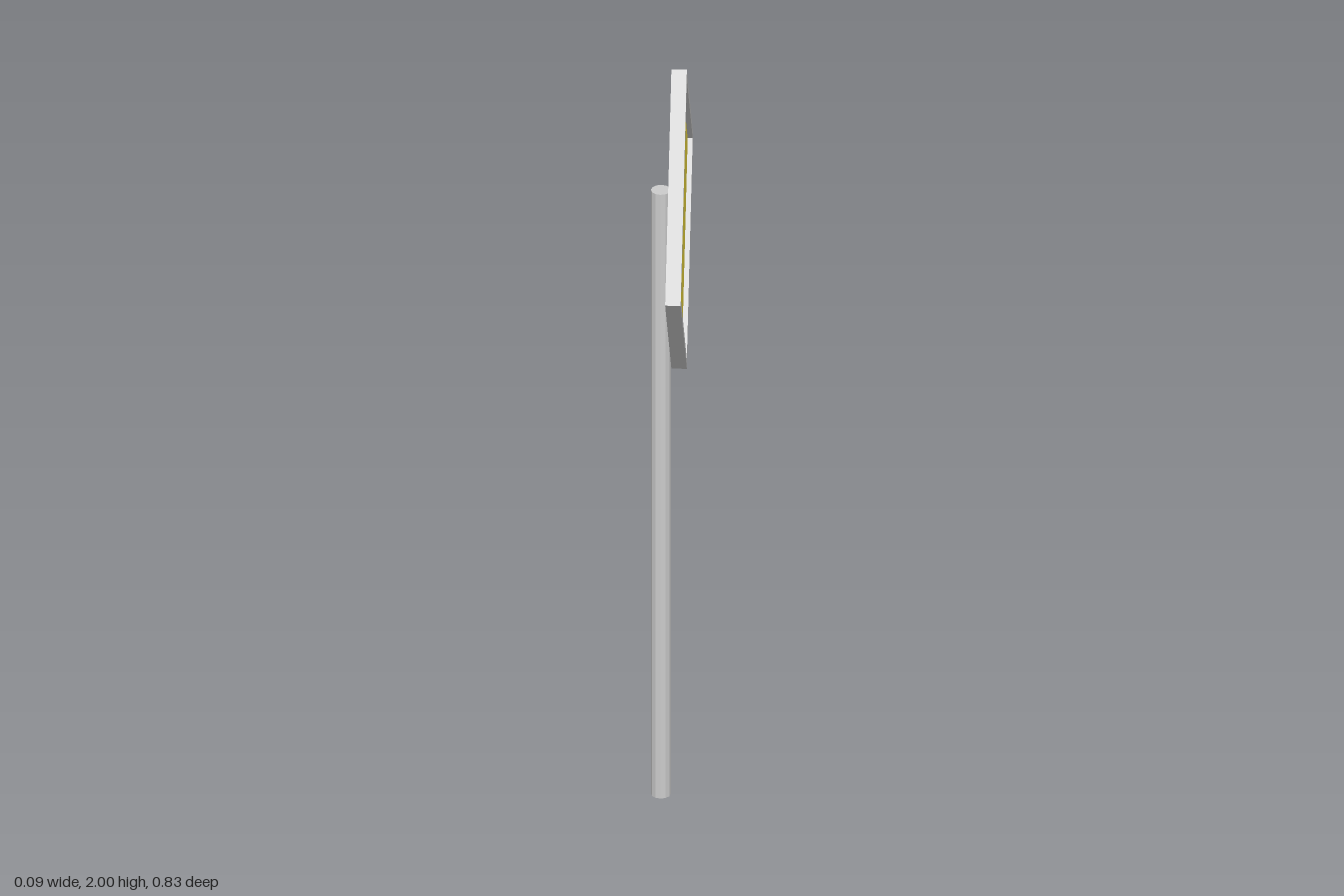
import * as THREE from 'three';

const SIGN_Y = 1.587;
const OUTER = 0.413; // half diagonal of the sign
const INNER = 0.386; // half diagonal of the recessed face

const diamond = (r) => [[r, 0], [0, r], [-r, 0], [0, -r]].map(([x, y]) => new THREE.Vector2(x, y));

// Diamond slab facing +x between x0 and x1, optionally with a diamond opening
function diamondSlab(name, material, r, x0, x1, holeR) {
  const shape = new THREE.Shape(diamond(r));
  if (holeR) shape.holes.push(new THREE.Path(diamond(holeR)));
  const geometry = new THREE.ExtrudeGeometry(shape, { depth: x1 - x0, bevelEnabled: false });
  geometry.rotateY(Math.PI / 2);
  const mesh = new THREE.Mesh(geometry, material);
  mesh.name = name;
  mesh.position.set(x0, SIGN_Y, 0);
  return mesh;
}

export function createModel() {
  const grey = new THREE.MeshStandardMaterial({ color: 0xcccccc, flatShading: true });
  const yellow = new THREE.MeshStandardMaterial({ color: 0xf0dc40, flatShading: true });
  const model = new THREE.Group();
  model.name = 'roadSign';

  // Round post standing behind the sign
  const height = 1.667;
  const post = new THREE.Mesh(new THREE.CylinderGeometry(0.024, 0.024, height, 12), grey);
  post.name = 'post';
  post.position.set(-0.02, height / 2, 0);
  model.add(post);

  // Backing plate, raised rim and recessed coloured face
  const sign = new THREE.Group();
  sign.name = 'sign';
  sign.add(
    diamondSlab('backPlate', grey, OUTER, 0.005, 0.02),
    diamondSlab('rim', grey, OUTER, 0.02, 0.042, INNER),
    diamondSlab('signFace', yellow, INNER, 0.02, 0.03)
  );
  model.add(sign);
  return model;
}
